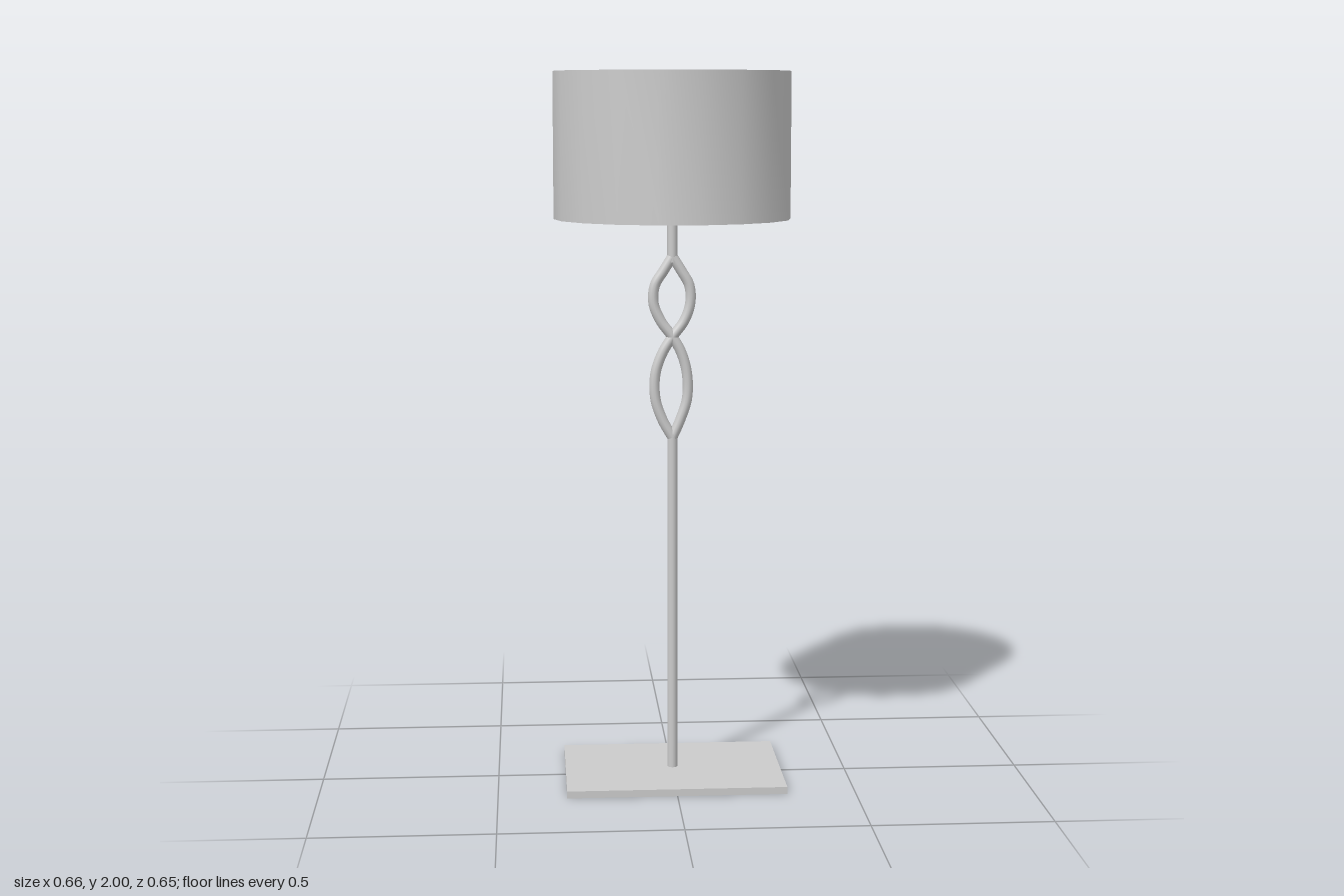
import * as THREE from 'three';
import { toCreasedNormals } from 'three/addons/utils/BufferGeometryUtils.js';

export function createModel() {
  const model = new THREE.Group();
  const grey = new THREE.MeshStandardMaterial({ color: 0xcccccc });
  const depth = 1.25; // the metal rod is slightly deeper than it is wide
  const rodRadius = 0.0145;

  function add(name, geometry) {
    const mesh = new THREE.Mesh(geometry, grey);
    mesh.name = name;
    model.add(mesh);
    return mesh;
  }

  function rod(name, bottom, top) {
    const mesh = add(name, new THREE.CylinderGeometry(rodRadius, rodRadius, top - bottom, 16));
    mesh.position.y = (bottom + top) / 2;
    mesh.scale.z = depth;
  }

  // flat rectangular foot
  add('base', new THREE.BoxGeometry(0.616, 0.02, 0.438)).position.y = 0.01;

  // straight rods below and above the twist
  rod('lowerPole', 0.02, 0.99);
  rod('upperPole', 1.475, 1.985);

  // two flat strands that cross in the middle; each is [x, y] from bottom to top
  const strands = {
    leftStrand: [[0, 0.98], [0.022, 1.03], [0.041, 1.09], [0.041, 1.16], [0.025, 1.22], [0, 1.265],
      [-0.033, 1.31], [-0.053, 1.36], [-0.049, 1.41], [-0.025, 1.45], [0, 1.49]],
    rightStrand: [[0, 0.98], [-0.028, 1.03], [-0.048, 1.09], [-0.048, 1.16], [-0.028, 1.22], [0, 1.265],
      [0.033, 1.31], [0.05, 1.36], [0.047, 1.41], [0.025, 1.45], [0, 1.49]],
  };
  for (const [name, points] of Object.entries(strands)) {
    const path = new THREE.CatmullRomCurve3(points.map(([x, y]) => new THREE.Vector3(x, y, 0)));
    add(name, new THREE.TubeGeometry(path, 60, rodRadius, 12)).scale.z = depth;
  }

  // drum shade with a thin wall, closed on top and open below
  const profile = [[0, 1.985], [0.322, 1.985], [0.322, 1.595], [0.33, 1.595], [0.33, 2], [0, 2]]
    .map(([r, y]) => new THREE.Vector2(r, y));
  const shade = new THREE.LatheGeometry(profile, 18, Math.PI / 18);
  add('shade', toCreasedNormals(shade, Math.PI / 6));

  return model;
}
